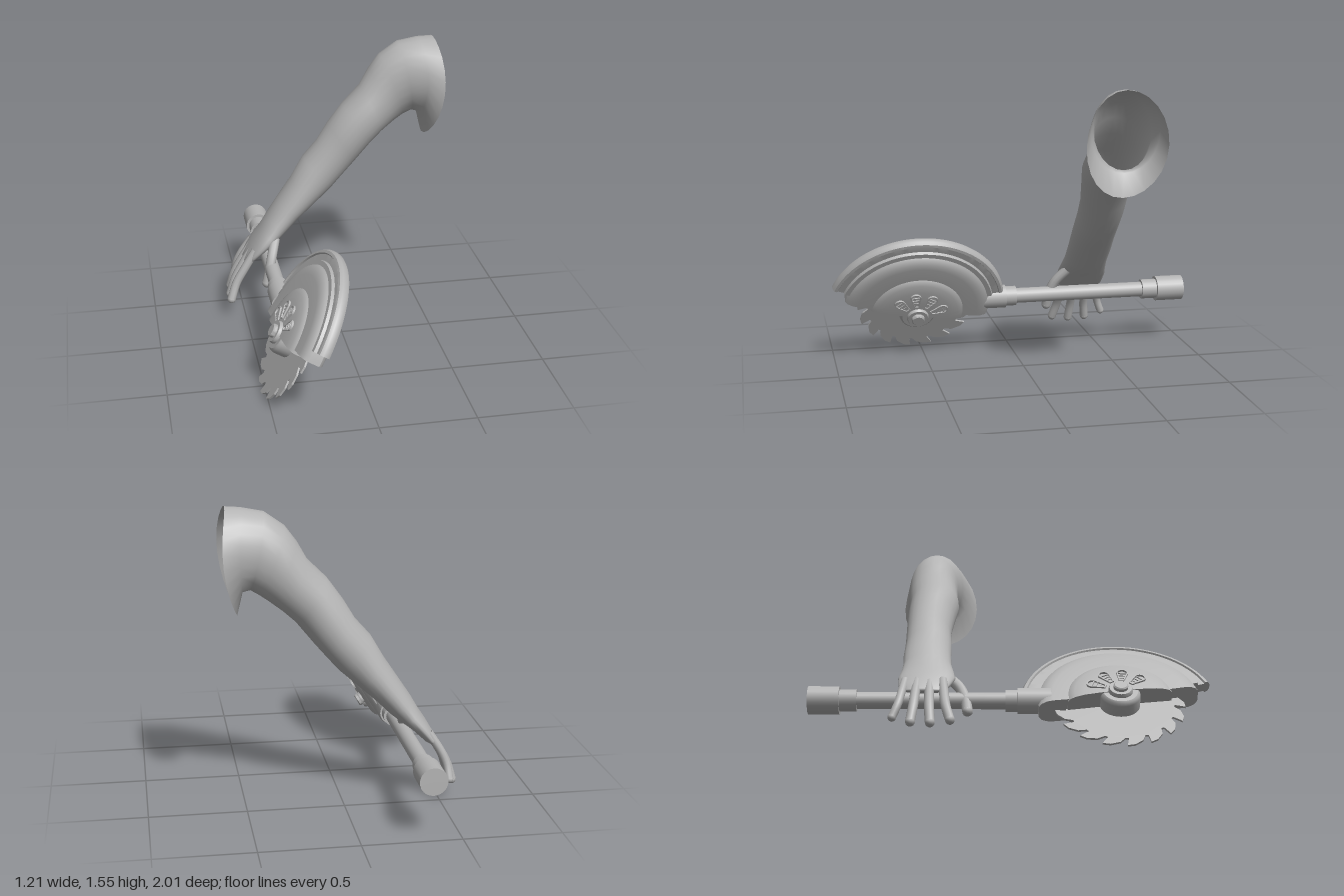
import * as THREE from 'three';
import { toCreasedNormals } from 'three/addons/utils/BufferGeometryUtils.js';

const rad = THREE.MathUtils.degToRad;

export function createModel() {
  const root = new THREE.Group();
  const grey = new THREE.MeshStandardMaterial({ color: 0xb4b4b4, side: THREE.DoubleSide });
  grey.name = 'plainGrey';

  const add = (parent, name, geo) => {
    const m = new THREE.Mesh(geo, grey);
    m.name = name;
    parent.add(m);
    return m;
  };

  // Skin over oval rings: [upperX, upperY, lowerX, lowerY, centreZ, halfWidth, bow]
  function loft(rings, n = 24) {
    const pos = [], idx = [];
    for (const [ux, uy, lx, ly, zc, hw, bow = 0] of rings) {
      for (let j = 0; j < n; j++) {
        const t = (j / n) * Math.PI * 2, c = Math.cos(t), s = Math.sin(t);
        pos.push((ux + lx) / 2 + c * (ux - lx) / 2 + bow * s * s,
          (uy + ly) / 2 + c * (uy - ly) / 2, zc + s * hw);
      }
    }
    for (let i = 0; i < rings.length - 1; i++) {
      for (let j = 0; j < n; j++) {
        const k = (j + 1) % n;
        const a = i * n + j, b = i * n + k, c = a + n, d = b + n;
        idx.push(a, c, b, b, c, d);
      }
    }
    const g = new THREE.BufferGeometry();
    g.setAttribute('position', new THREE.Float32BufferAttribute(pos, 3));
    g.setIndex(idx);
    g.computeVertexNormals();
    return g;
  }

  // Arm: open at the shoulder, running down to the palm
  const arm = new THREE.Group();
  arm.name = 'arm';
  root.add(arm);
  add(arm, 'armAndPalm', loft([
    [0.58, 1.555, 0.525, 1.01, -0.4, 0.21, 0.05],
    [0.5, 1.55, 0.5, 1.13, -0.41, 0.178, 0.02],
    [0.39, 1.53, 0.465, 1.14, -0.42, 0.152],
    [0.29, 1.46, 0.42, 1.115, -0.43, 0.138],
    [0.23, 1.38, 0.37, 1.08, -0.43, 0.135],
    [0.18, 1.29, 0.3, 1.025, -0.425, 0.135],
    [0.08, 1.19, 0.235, 0.965, -0.415, 0.135],
    [0, 1.08, 0.15, 0.86, -0.425, 0.128],
    [-0.06, 0.98, 0.09, 0.79, -0.43, 0.122],
    [-0.14, 0.89, 0.02, 0.71, -0.43, 0.118],
    [-0.21, 0.77, -0.08, 0.62, -0.425, 0.12],
    [-0.29, 0.65, -0.17, 0.54, -0.425, 0.122],
    [-0.35, 0.56, -0.24, 0.47, -0.42, 0.122],
    [-0.39, 0.49, -0.3, 0.42, -0.415, 0.133],
    [-0.43, 0.43, -0.355, 0.38, -0.415, 0.142],
    [-0.47, 0.36, -0.42, 0.32, -0.425, 0.125],
    [-0.495, 0.31, -0.465, 0.295, -0.425, 0.1],
    [-0.485, 0.3, -0.485, 0.3, -0.425, 0],
  ]));

  // Fingers and thumb: a tube with a round tip
  function digit(name, points, r) {
    const curve = new THREE.CatmullRomCurve3(points.map(p => new THREE.Vector3(...p)));
    add(arm, name, new THREE.TubeGeometry(curve, 14, r, 10, false));
    add(arm, name + 'Tip', new THREE.SphereGeometry(r, 10, 8)).position.copy(curve.getPoint(1));
  }
  [
    [-0.335, -0.29, -0.578, 0.112],
    [-0.4, -0.385, -0.575, 0.1],
    [-0.46, -0.48, -0.565, 0.107],
    [-0.52, -0.57, -0.532, 0.142],
  ].forEach(([z0, z1, x, y], i) => {
    const mid = (z0 + z1) / 2;
    digit('finger' + (i + 1), [
      [-0.43, 0.38, z0], [-0.495, 0.28, (z0 + mid) / 2],
      [(x - 0.495) / 2 - 0.01, (y + 0.28) / 2, mid], [x, y, z1],
    ], i === 3 ? 0.021 : 0.024);
  });
  digit('thumb', [[-0.32, 0.45, -0.32], [-0.35, 0.37, -0.25], [-0.37, 0.29, -0.22], [-0.385, 0.235, -0.212]], 0.027);

  // Handle: stepped round bar along z
  const handle = new THREE.Group();
  handle.name = 'handle';
  handle.position.set(-0.35, 0.305, 0);
  root.add(handle);
  for (const [name, r, z0, z1] of [
    ['bar', 0.042, -0.8, 0.02], ['frontCollar', 0.055, -0.025, 0.04], ['frontSocket', 0.064, 0.035, 0.2],
    ['rearCollar', 0.055, -0.85, -0.76], ['rearGrip', 0.07, -1, -0.845],
  ]) {
    const g = new THREE.CylinderGeometry(r, r, z1 - z0, 24).rotateX(Math.PI / 2);
    add(handle, name, g).position.z = (z0 + z1) / 2;
  }

  // Saw head: local y is the axle; angle 0 points forward, 90 points up the slope
  const saw = new THREE.Group();
  saw.name = 'sawHead';
  saw.position.set(-0.355, 0.28, 0.54);
  saw.rotation.z = rad(58.5);
  root.add(saw);

  // Part-turned solid, mirrored about the blade, with flat ends
  function sector(name, half, from, to) {
    const pts = [...half.map(([r, s]) => new THREE.Vector2(r, -s)),
      ...half.slice().reverse().map(([r, s]) => new THREE.Vector2(r, s))];
    const lathe = new THREE.LatheGeometry([...pts, pts[0]], 48, rad(from), rad(to - from));
    add(saw, name, toCreasedNormals(lathe, 0.6));
    for (const a of [from, to]) {
      add(saw, name + 'End', new THREE.ShapeGeometry(new THREE.Shape(pts)).rotateY(rad(a - 90)));
    }
  }
  sector('guardDome', [[0, 0.092], [0.1, 0.092], [0.18, 0.088], [0.225, 0.08], [0.25, 0.07], [0.262, 0.055]], 8, 190);
  sector('guardHousing', [[0.23, 0.064], [0.335, 0.064], [0.365, 0.06], [0.392, 0.048], [0.405, 0.03]], 12, 188);
  sector('guardRim', [[0.39, 0.038], [0.425, 0.038], [0.43, 0.022], [0.465, 0.022], [0.47, 0.03], [0.485, 0.027], [0.495, 0.012]], 20, 169);

  // Toothed blade
  const teeth = 17, bladePts = [];
  for (let i = 0; i < teeth; i++) {
    for (const [f, r] of [[0, 0.272], [-0.12, 0.325], [0.2, 0.322], [0.6, 0.3], [0.85, 0.268]]) {
      const a = ((i + f) / teeth) * Math.PI * 2;
      bladePts.push(new THREE.Vector2(r * Math.sin(a), -r * Math.cos(a)));
    }
  }
  const blade = new THREE.ExtrudeGeometry(new THREE.Shape(bladePts), { depth: 0.01, bevelEnabled: false });
  add(saw, 'blade', blade.translate(0, 0, -0.005).rotateX(-Math.PI / 2));

  // Hub, stepped on both sides
  const hub = [[0, 0.128], [0.03, 0.128], [0.036, 0.122], [0.036, 0.108], [0.055, 0.108], [0.06, 0.1],
    [0.06, 0.088], [0.085, 0.088], [0.095, 0.08], [0.1, 0.065]];
  const hubPts = [...hub.map(([r, s]) => new THREE.Vector2(r, -s)),
    ...hub.slice().reverse().map(([r, s]) => new THREE.Vector2(r, s))];
  add(saw, 'hub', toCreasedNormals(new THREE.LatheGeometry(hubPts, 32), 0.6));

  // Fan of ribbed vents on each face of the dome
  function petal(inset) {
    const p = new THREE.Path();
    const r = 0.03 - inset;
    p.moveTo(-0.012 + inset / 2, -(0.075 + inset));
    p.lineTo(-r, -0.145);
    p.absarc(0, -0.145, r, Math.PI, Math.PI * 2, false);
    p.lineTo(0.012 - inset / 2, -(0.075 + inset));
    p.closePath();
    return p;
  }
  for (const side of [1, -1]) {
    for (const a of [45, 83, 121, 159]) {
      const vent = new THREE.Group();
      vent.name = 'vent';
      vent.position.y = side * 0.093;
      vent.rotation.y = rad(a);
      saw.add(vent);
      const shape = new THREE.Shape(petal(0).getPoints(8));
      shape.holes.push(petal(0.007));
      const g = new THREE.ExtrudeGeometry(shape, { depth: 0.012, bevelEnabled: false, curveSegments: 8 });
      add(vent, 'ventFrame', g.translate(0, 0, -0.006).rotateX(-Math.PI / 2));
      for (const z of [0.105, 0.125, 0.145]) {
        add(vent, 'ventSlat', new THREE.BoxGeometry(0.32 * z, 0.006, 0.006)).position.z = z;
      }
    }
  }
  return root;
}
